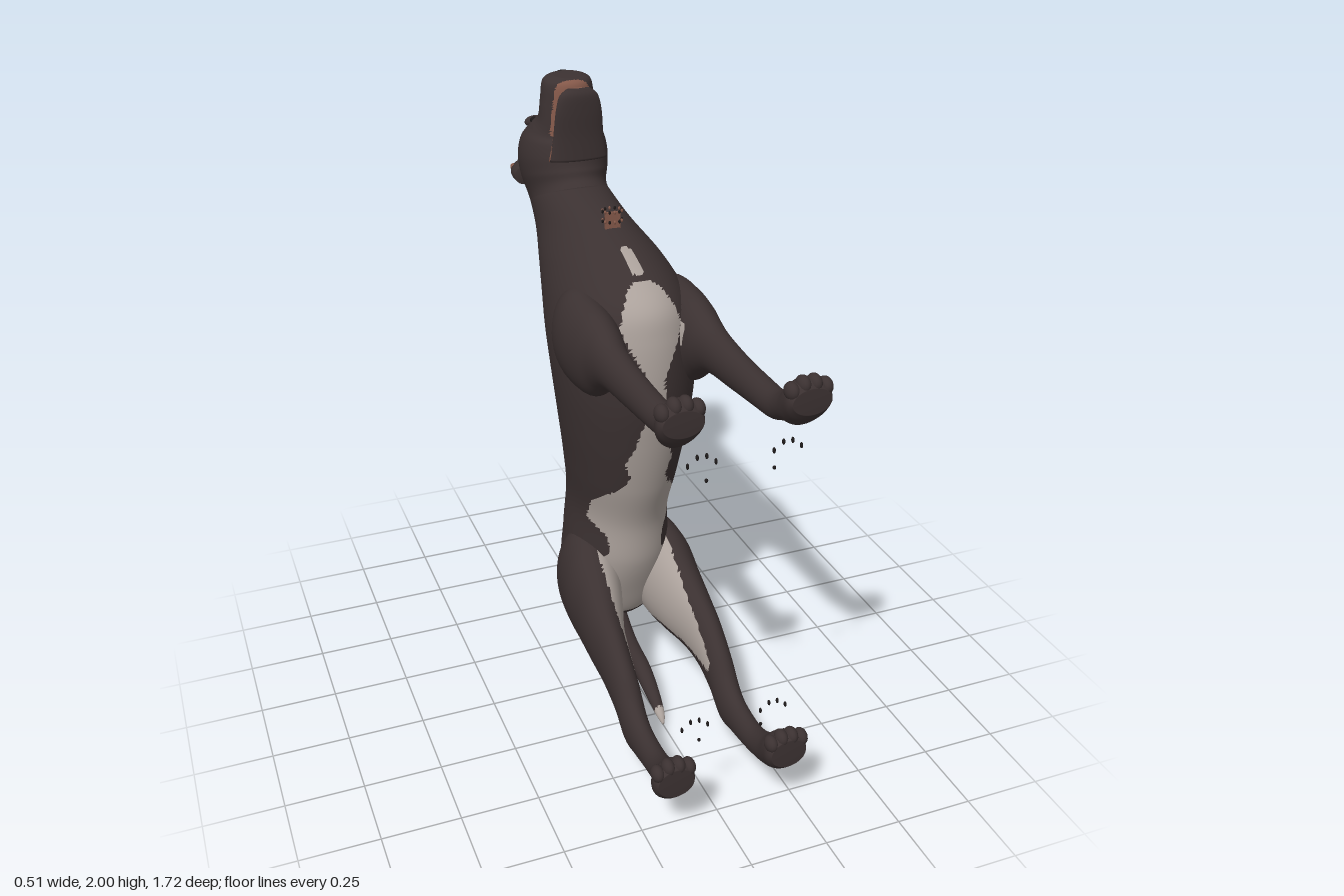
import * as THREE from 'three';

const mat = (name, color) => {
  const m = new THREE.MeshStandardMaterial({ color });
  m.name = name;
  return m;
};
const coat = mat('dark coat', 0x3b3131);
const cream = mat('pale patch', 0xaba19b);
const flesh = mat('mouth brown', 0x85594a);
const black = mat('claw black', 0x1d1919);

// Catmull-Rom blend of section rows
function blend(rows, t) {
  const n = rows.length - 1;
  const i = Math.min(Math.floor(t * n), n - 1), f = t * n - i;
  const r = k => rows[Math.max(0, Math.min(n, k))];
  const [a, b, c, d] = [r(i - 1), r(i), r(i + 1), r(i + 2)];
  return b.map((v, k) => v + 0.5 * f * (c[k] - a[k] +
    f * (2 * a[k] - 5 * v + 4 * c[k] - d[k] + f * (3 * (v - c[k]) + d[k] - a[k]))));
}

// Skin of elliptical sections [zA, yA, zB, yB, halfWidth, centreX]; pick() marks second-colour faces
function loft(name, sections, { side = 1, rings = 60, seg = 32, second = cream, pick = () => false } = {}) {
  const rows = sections.map(s => (s.length < 6 ? [...s, 0] : s));
  const pos = [];
  for (let i = 0; i <= rings; i++) {
    const [za, ya, zb, yb, w, cx] = blend(rows, i / rings);
    for (let j = 0; j < seg; j++) {
      const a = (j / seg) * Math.PI * 2, c = Math.cos(a) / 2;
      pos.push(cx * side + w * Math.sin(a), (ya + yb) / 2 + (yb - ya) * c, (za + zb) / 2 + (zb - za) * c);
    }
  }
  for (const s of [rows[0], rows[rows.length - 1]])
    pos.push(s[5] * side, (s[1] + s[3]) / 2, (s[0] + s[2]) / 2);
  const first = (rings + 1) * seg, last = first + 1, lists = [[], []];
  const tri = (a, b, c) => {
    const mid = k => (pos[a * 3 + k] + pos[b * 3 + k] + pos[c * 3 + k]) / 3;
    lists[pick(Math.abs(mid(0)), mid(1), mid(2)) ? 1 : 0].push(a, b, c);
  };
  for (let j = 0; j < seg; j++) {
    const k = (j + 1) % seg;
    tri(first, k, j);
    for (let i = 0; i < rings; i++) {
      const p = i * seg, q = p + seg;
      tri(p + j, p + k, q + k);
      tri(p + j, q + k, q + j);
    }
    tri(last, rings * seg + j, rings * seg + k);
  }
  const g = new THREE.BufferGeometry();
  g.setAttribute('position', new THREE.Float32BufferAttribute(pos, 3));
  g.setIndex([...lists[0], ...lists[1]]);
  g.addGroup(0, lists[0].length, 0);
  g.addGroup(lists[0].length, lists[1].length, 1);
  g.computeVertexNormals();
  const m = new THREE.Mesh(g, [coat, second]);
  m.name = name;
  return m;
}

function blob(name, material, p, s) {
  const m = new THREE.Mesh(new THREE.SphereGeometry(1, 16, 12), material);
  m.name = name;
  m.position.set(...p);
  m.scale.set(...s);
  return m;
}

// Half-width of the pale underside patch at each height
const PATCH = [[0.25, 0], [0.26, 0.1], [0.4, 0.1], [0.45, 0.125], [0.5, 0.125], [0.55, 0.09], [0.61, 0.1],
  [0.66, 0.145], [0.75, 0.14], [0.8, 0.11], [0.84, 0.075], [0.88, 0.06], [0.94, 0.08], [1.0, 0.055], [1.1, 0.033],
  [1.25, 0.03], [1.34, 0.075], [1.4, 0.1], [1.45, 0.085], [1.5, 0.055], [1.515, 0.03], [1.52, 0], [1.53, 0],
  [1.532, 0.022], [1.575, 0.016], [1.58, 0]];
function patchWidth(y) {
  for (let i = 1; i < PATCH.length; i++) {
    const [y0, w0] = PATCH[i - 1], [y1, w1] = PATCH[i];
    if (y >= y0 && y <= y1) return w0 + (w1 - w0) * (y - y0) / (y1 - y0);
  }
  return 0;
}

const BODY = [
  [-0.22, 0.205, -0.08, 0.2, 0.05], [-0.29, 0.28, -0.02, 0.25, 0.14], [-0.335, 0.4, 0.03, 0.36, 0.185],
  [-0.357, 0.55, 0.08, 0.5, 0.175], [-0.355, 0.7, 0.1, 0.66, 0.163], [-0.35, 0.85, 0.155, 0.82, 0.18],
  [-0.35, 1.0, 0.2, 1.0, 0.203], [-0.37, 1.14, 0.225, 1.17, 0.22], [-0.415, 1.24, 0.215, 1.36, 0.225],
  [-0.49, 1.32, 0.17, 1.47, 0.21], [-0.58, 1.39, 0.02, 1.555, 0.18], [-0.69, 1.455, -0.2, 1.62, 0.14],
  [-0.76, 1.53, -0.4, 1.665, 0.125]];
const HEAD = [
  [-0.69, 1.455, -0.2, 1.62, 0.135], [-0.76, 1.53, -0.4, 1.665, 0.126], [-0.797, 1.61, -0.44, 1.71, 0.142],
  [-0.805, 1.69, -0.455, 1.75, 0.148], [-0.78, 1.77, -0.47, 1.785, 0.138], [-0.705, 1.835, -0.488, 1.8, 0.115],
  [-0.655, 1.875, -0.49, 1.83, 0.098], [-0.645, 1.93, -0.495, 1.9, 0.09], [-0.635, 1.985, -0.505, 1.97, 0.08],
  [-0.6, 2.0, -0.53, 1.99, 0.045]];
const JAW = [
  [-0.5, 1.74, -0.437, 1.74, 0.1], [-0.487, 1.82, -0.438, 1.82, 0.086], [-0.477, 1.9, -0.434, 1.9, 0.078],
  [-0.477, 1.95, -0.434, 1.95, 0.065], [-0.472, 1.972, -0.443, 1.972, 0.04]];
const TAIL = [
  [-0.26, 0.29, -0.25, 0.2, 0.045], [-0.14, 0.205, -0.16, 0.12, 0.04], [-0.02, 0.145, -0.03, 0.075, 0.035],
  [0.12, 0.125, 0.11, 0.065, 0.03], [0.22, 0.085, 0.2, 0.04, 0.024], [0.29, 0.04, 0.28, 0.015, 0.015],
  [0.315, 0.01, 0.312, 0.0, 0.004]];
const EAR = [
  [-0.7, 1.6, -0.7, 1.66, 0.03, 0.118], [-0.76, 1.605, -0.76, 1.66, 0.033, 0.113],
  [-0.81, 1.625, -0.81, 1.66, 0.022, 0.088], [-0.865, 1.65, -0.865, 1.655, 0.003, 0.073]];
// Legs as [z, upper y, lower y, half-width, centre x]
const leg = rows => rows.map(([z, hi, lo, w, x]) => [z, hi, z, lo, w, x]);
const FORE = leg([
  [-0.15, 1.42, 1.2, 0.05, 0.15], [-0.05, 1.47, 1.17, 0.085, 0.155], [0.05, 1.47, 1.17, 0.09, 0.16],
  [0.15, 1.46, 1.185, 0.08, 0.16], [0.22, 1.44, 1.235, 0.065, 0.16], [0.3, 1.415, 1.27, 0.053, 0.163],
  [0.45, 1.4, 1.285, 0.045, 0.163], [0.6, 1.395, 1.3, 0.042, 0.163], [0.7, 1.4, 1.31, 0.04, 0.163],
  [0.76, 1.435, 1.33, 0.05, 0.172], [0.8, 1.48, 1.335, 0.062, 0.181], [0.835, 1.485, 1.36, 0.067, 0.184],
  [0.857, 1.465, 1.39, 0.058, 0.184]]);
const HIND = leg([
  [-0.2, 0.45, 0.26, 0.05, 0.13], [-0.13, 0.56, 0.205, 0.09, 0.13], [-0.01, 0.56, 0.197, 0.1, 0.135],
  [0.09, 0.505, 0.195, 0.085, 0.145], [0.2, 0.44, 0.195, 0.065, 0.16], [0.3, 0.395, 0.18, 0.052, 0.165],
  [0.4, 0.325, 0.14, 0.045, 0.165], [0.475, 0.25, 0.09, 0.042, 0.165], [0.55, 0.215, 0.1, 0.038, 0.165],
  [0.66, 0.21, 0.12, 0.037, 0.165], [0.74, 0.245, 0.135, 0.042, 0.17], [0.79, 0.295, 0.15, 0.058, 0.18],
  [0.83, 0.31, 0.175, 0.066, 0.183], [0.855, 0.295, 0.2, 0.057, 0.183]]);

export function createModel() {
  const dog = new THREE.Group();
  dog.name = 'dog';
  dog.add(
    loft('body', BODY, { rings: 180, seg: 120, pick: (x, y, z) => z > -0.07 && x < patchWidth(y) }),
    loft('head', HEAD, { rings: 90, seg: 64, second: flesh, pick: (x, y, z) => y > 1.81 && z > -0.52 }),
    loft('lowerJaw', JAW, { rings: 30, seg: 40, second: flesh, pick: (x, y, z) => z < -0.463 }),
    loft('tail', TAIL, { seg: 24, pick: (x, y, z) => z > 0.275 }),
    blob('nose', black, [0, 1.982, -0.615], [0.03, 0.016, 0.022]),
    blob('tongue', flesh, [0, 1.87, -0.485], [0.055, 0.09, 0.012]));

  for (const s of [1, -1]) {
    dog.add(
      loft('frontLeg', FORE, { side: s, rings: 90, seg: 40, pick: (x, y, z) => z < 0.2 && x < 0.1 && y > 1.33 }),
      loft('hindLeg', HIND, { side: s, rings: 100, seg: 48, pick: (x, y, z) => z > -0.06 && z < 0.4 && x < 0.126 && y > 0.25 }),
      loft('ear', EAR, { side: s, rings: 24, seg: 24 }),
      blob('innerEar', flesh, [s * 0.131, 1.64, -0.765], [0.011, 0.014, 0.033]),
      blob('eye', black, [s * 0.086, 1.828, -0.663], [0.014, 0.012, 0.015]),
      blob('brow', coat, [s * 0.075, 1.815, -0.695], [0.035, 0.02, 0.018]));

    // Toes and the loose claws beside each paw
    for (const [toeY, clawY, dewY] of [[1.47, 1.3, 1.23], [0.295, 0.435, 0.36]]) {
      for (let i = 0; i < 4; i++) {
        const k = i - 1.5, inner = Math.abs(k) > 1 ? 0.014 : 0;
        dog.add(
          blob('toe', coat, [s * (0.184 + k * 0.033), toeY - inner, 0.828], [0.02, 0.026, 0.029]),
          blob('claw', black, [s * (0.125 + k * 0.027), clawY + 0.018 - inner * 1.5, 0.843], [0.004, 0.009, 0.006]));
      }
      dog.add(blob('dewclaw', black, [s * 0.1, dewY, 0.82], [0.005, 0.006, 0.005]));
    }
  }

  // Small palate and ring of teeth set on the chest
  const palate = new THREE.Mesh(new THREE.BoxGeometry(0.05, 0.065, 0.008), flesh);
  palate.name = 'palate';
  palate.position.set(0, 1.625, -0.15);
  dog.add(palate);
  for (const y of [1.63, 1.662])
    for (let i = 0; i < 12; i++) {
      const a = (i / 12) * Math.PI * 2;
      dog.add(blob('tooth', i % 2 ? flesh : black,
        [0.032 * Math.cos(a), y, -0.152 + 0.024 * Math.sin(a)], [0.004, 0.006, 0.004]));
    }
  return dog;
}
